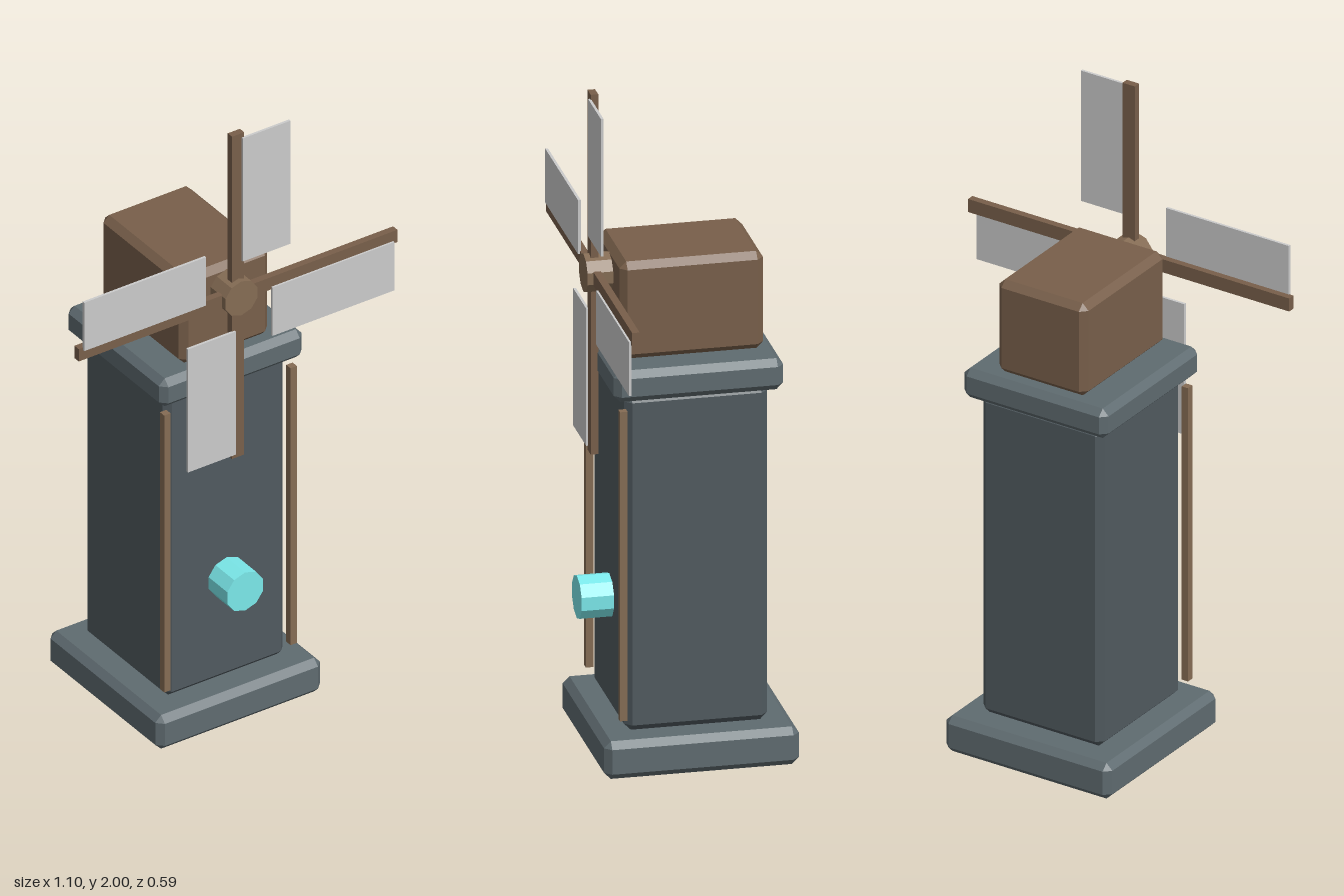
import * as THREE from 'three';
import { ConvexGeometry } from 'three/addons/geometries/ConvexGeometry.js';

const material = (color) => new THREE.MeshStandardMaterial({ color, flatShading: true });
const STONE = material(0x5f6b70);
const DARK_STONE = material(0x505a5f);
const WOOD = material(0x785f4a);
const TRIM = material(0x856c54);
const CLOTH = material(0xcccccc);
const GLOW = material(0x7be8ea);

const TOWER_Z = -0.01; // tower axis sits slightly behind the middle
const HUB_Y = 1.45;

// Box with a single flat chamfer on every edge
function chamferBox(w, h, d, c) {
  const points = [];
  for (const sx of [-1, 1]) for (const sy of [-1, 1]) for (const sz of [-1, 1]) {
    const x = w / 2, y = h / 2, z = d / 2;
    points.push(
      new THREE.Vector3(sx * x, sy * (y - c), sz * (z - c)),
      new THREE.Vector3(sx * (x - c), sy * y, sz * (z - c)),
      new THREE.Vector3(sx * (x - c), sy * (y - c), sz * z));
  }
  return new ConvexGeometry(points);
}

function add(parent, name, geometry, mat, x, y, z) {
  const mesh = new THREE.Mesh(geometry, mat);
  mesh.name = name;
  mesh.position.set(x, y, z);
  parent.add(mesh);
  return mesh;
}

// Chamfered block standing between two heights
function block(parent, name, w, d, y0, y1, mat) {
  add(parent, name, chamferBox(w, y1 - y0, d, 0.02), mat, 0, (y0 + y1) / 2, TOWER_Z);
}

// Ten-sided cylinder lying along z
function peg(parent, name, r, z0, z1, y, mat) {
  const geometry = new THREE.CylinderGeometry(r, r, z1 - z0, 10).rotateX(Math.PI / 2);
  add(parent, name, geometry, mat, 0, y, (z0 + z1) / 2);
}

export function createModel() {
  const model = new THREE.Group();
  model.name = 'windmill';

  // Tower
  block(model, 'base', 0.568, 0.57, 0, 0.115, STONE);
  block(model, 'tower', 0.415, 0.418, 0.115, 1.14, DARK_STONE);
  block(model, 'ledge', 0.493, 0.496, 1.135, 1.23, STONE);
  block(model, 'cap', 0.305, 0.42, 1.228, 1.526, WOOD);

  // Corner battens on the front edges
  for (const side of [-1, 1]) {
    add(model, side > 0 ? 'leftBatten' : 'rightBatten',
      new THREE.BoxGeometry(0.022, 0.945, 0.022), TRIM, side * 0.218, 0.632, 0.209);
  }

  // Round lamp on the front
  peg(model, 'lamp', 0.065, 0.197, 0.294, 0.46, GLOW);

  // Hub and four sails
  peg(model, 'hub', 0.058, 0.19, 0.275, HUB_Y, TRIM);
  const rotor = new THREE.Group();
  rotor.name = 'rotor';
  rotor.position.set(0, HUB_Y, 0);
  model.add(rotor);
  const spar = new THREE.BoxGeometry(0.042, 0.55, 0.022);
  const sail = new THREE.BoxGeometry(0.165, 0.42, 0.008);
  for (let i = 0; i < 4; i++) {
    const arm = new THREE.Group();
    arm.name = 'sailArm' + (i + 1);
    arm.rotation.z = i * Math.PI / 2;
    add(arm, 'spar', spar, WOOD, 0, 0.275, 0.247);
    add(arm, 'sail', sail, CLOTH, 0.0945, 0.325, 0.26);
    rotor.add(arm);
  }
  return model;
}
